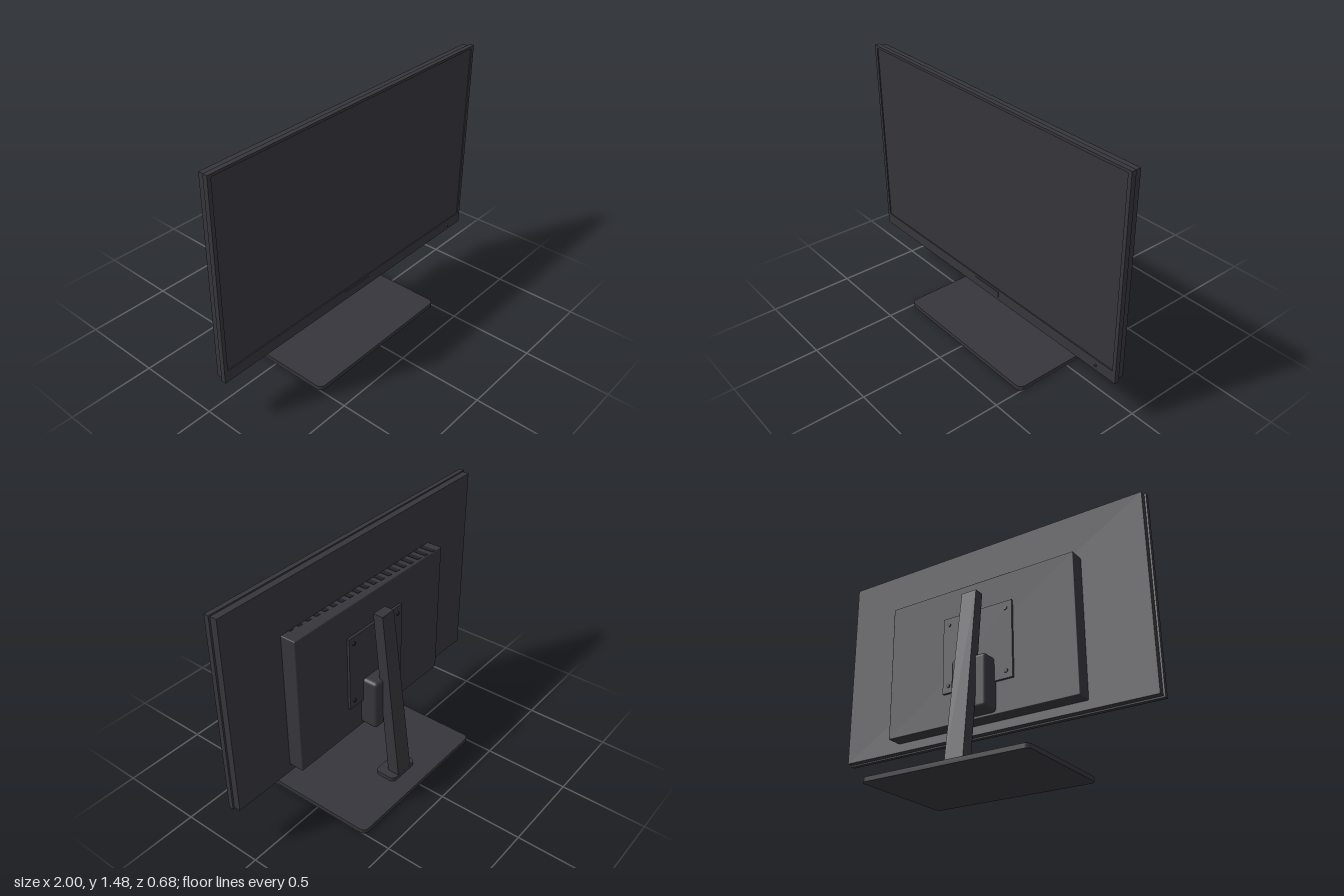
import * as THREE from 'three';
import { RoundedBoxGeometry } from 'three/addons/geometries/RoundedBoxGeometry.js';

export function createModel() {
  const model = new THREE.Group();
  model.name = 'monitor';

  const mat = (name, color) => {
    const m = new THREE.MeshStandardMaterial({ color });
    m.name = name;
    return m;
  };
  const body = mat('charcoalPlastic', 0x36353b);
  const glass = mat('screenGlass', 0x35343a);
  const dark = mat('darkVent', 0x222126);

  const add = (name, geo, material, parent = model) => {
    const mesh = new THREE.Mesh(geo, material);
    mesh.name = name;
    parent.add(mesh);
    return mesh;
  };
  // Box given by its extents on each axis, optionally rounded
  const block = (name, [x0, x1], [y0, y1], [z0, z1], material, r = 0, parent = model) => {
    const size = [x1 - x0, y1 - y0, z1 - z0];
    const geo = r ? new RoundedBoxGeometry(...size, 3, r) : new THREE.BoxGeometry(...size);
    const mesh = add(name, geo, material, parent);
    mesh.position.set((x0 + x1) / 2, (y0 + y1) / 2, (z0 + z1) / 2);
    return mesh;
  };
  const rect = (path, x0, x1, y0, y1) =>
    path.moveTo(x0, y0).lineTo(x1, y0).lineTo(x1, y1).lineTo(x0, y1).closePath();

  // Flat slab with rounded corners in plan, standing on y0
  const slab = (name, w, d, r, y0, y1, z) => {
    const a = w / 2, b = d / 2, s = new THREE.Shape();
    s.absarc(a - r, b - r, r, 0, Math.PI / 2);
    s.absarc(-a + r, b - r, r, Math.PI / 2, Math.PI);
    s.absarc(-a + r, -b + r, r, Math.PI, Math.PI * 1.5);
    s.absarc(a - r, -b + r, r, Math.PI * 1.5, Math.PI * 2);
    s.closePath();
    const geo = new THREE.ExtrudeGeometry(s, { depth: y1 - y0, bevelEnabled: false, curveSegments: 6 });
    geo.rotateX(-Math.PI / 2).translate(0, y0, z);
    return add(name, geo, body);
  };

  // Stand: base plate, collar
  slab('basePlate', 1.01, 0.68, 0.035, 0, 0.026, 0);
  slab('neckCollar', 0.21, 0.132, 0.03, 0.026, 0.05, -0.162);

  // Leaning neck, cut level at both ends and tapering upwards
  const neck = new THREE.BoxGeometry(1, 1, 1);
  const p = neck.attributes.position;
  for (let i = 0; i < p.count; i++) {
    const top = p.getY(i) > 0, front = p.getZ(i) > 0;
    p.setXYZ(i,
      Math.sign(p.getX(i)) * (top ? 0.048 : 0.057),
      top ? 1.075 : 0.045,
      top ? (front ? -0.035 : -0.097) : (front ? -0.155 : -0.228));
  }
  neck.computeVertexNormals();
  add('neck', neck, body);

  // Front bezel frame with the screen set slightly back
  const frame = new THREE.Shape();
  rect(frame, -1, 1, 0.292, 1.475);
  const hole = new THREE.Path();
  rect(hole, -0.978, 0.978, 0.36, 1.46);
  frame.holes.push(hole);
  const frameGeo = new THREE.ExtrudeGeometry(frame, { depth: 0.028, bevelEnabled: false });
  frameGeo.translate(0, 0, 0.127);
  add('bezel', frameGeo, body);
  block('screen', [-0.98, 0.98], [0.358, 1.462], [0.128, 0.149], glass);
  block('bezelPlate', [-0.103, 0.1], [0.31, 0.346], [0.154, 0.158], body);

  // Small power button at the lower right of the bezel
  const button = add('powerButton', new THREE.CylinderGeometry(0.006, 0.006, 0.01, 12), body);
  button.rotation.x = Math.PI / 2;
  button.position.set(0.867, 0.325, 0.159);

  // Panel back and electronics housing
  block('panelBack', [-0.99, 0.99], [0.3, 1.467], [0.088, 0.128], body);
  block('rearHousing', [-0.61, 0.61], [0.35, 1.18], [-0.003, 0.094], body, 0.006);

  // Top vents, growing shorter from one side to the other
  const vents = new THREE.Group();
  vents.name = 'vents';
  model.add(vents);
  const count = 19;
  for (let i = 0; i < count; i++) {
    const x = -0.54 + i * 0.06, back = 0.002 + 0.076 * i / (count - 1);
    block('vent', [x - 0.015, x + 0.015], [1.176, 1.182], [back, 0.087], dark, 0, vents);
  }

  // Mounting plate with four screws
  block('mountPlate', [-0.228, 0.226], [0.535, 0.995], [-0.018, 0], body);
  for (const x of [-0.188, 0.188]) {
    for (const y of [0.578, 0.952]) {
      const screw = add('mountScrew', new THREE.CylinderGeometry(0.012, 0.012, 0.008, 12), dark);
      screw.rotation.x = Math.PI / 2;
      screw.position.set(x, y, -0.019);
    }
  }

  // Block joining the housing to the neck
  block('mountBlock', [-0.114, 0.112], [0.365, 0.676], [-0.107, 0.02], body, 0.022);

  return model;
}
